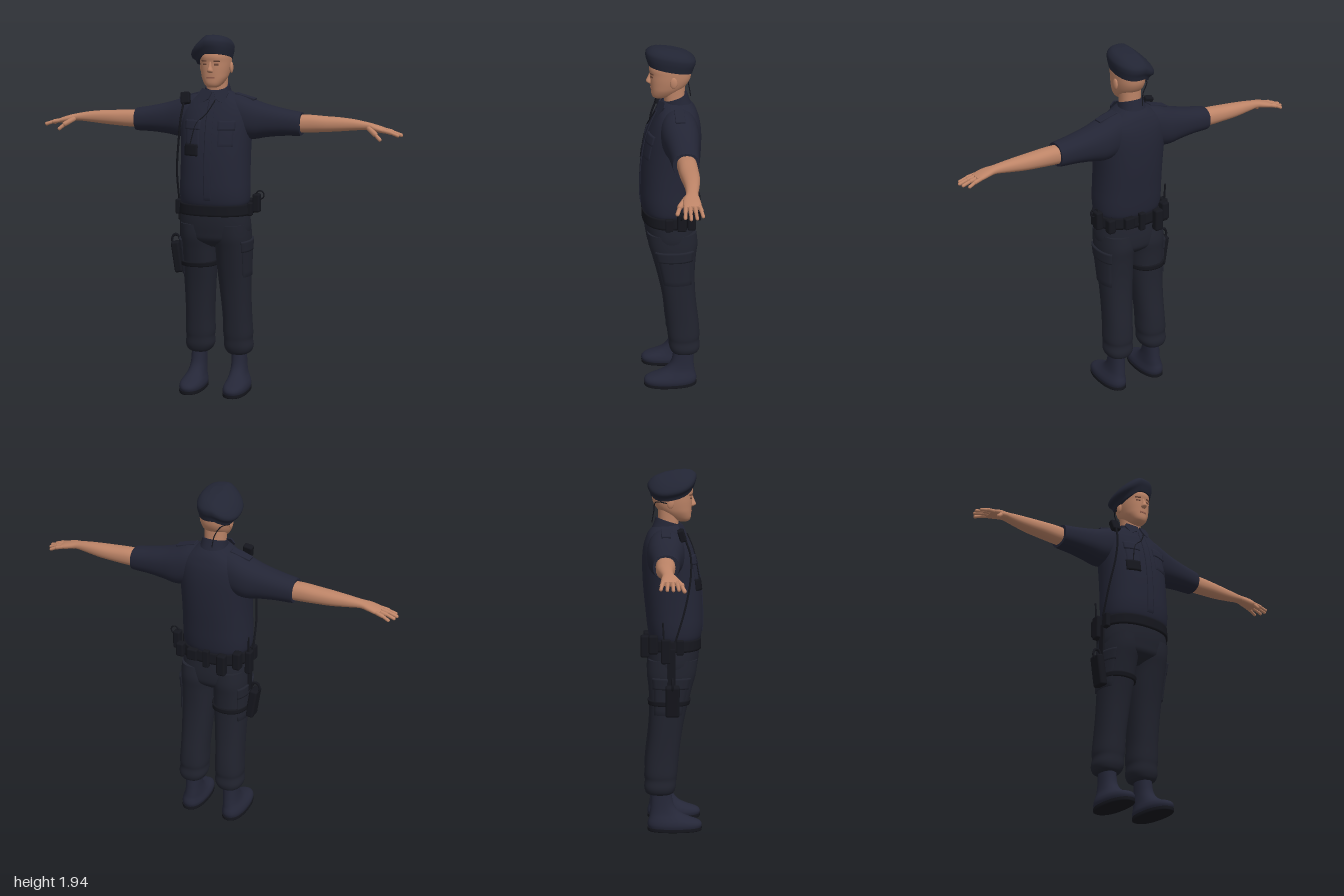
import * as THREE from 'three';
import { RoundedBoxGeometry } from 'three/addons/geometries/RoundedBoxGeometry.js';

const material = (name, color) => new THREE.MeshStandardMaterial({ name, color });
const V = (x, y, z) => new THREE.Vector3(x, y, z);

// Cross-section: [s, aMin, aMax, bMin, bMax]; s runs along the body, a and b across it.
const UP = (s, a, b) => [a, s, b];     // s = y, a = x, b = z
const ACROSS = (s, a, b) => [s, b, a]; // s = x, a = z, b = y

function sectionAt(sections, t) {
  const last = sections.length - 1;
  const i = Math.min(Math.floor(t), last - 1), u = t - i;
  const at = k => sections[Math.max(0, Math.min(last, k))];
  return at(i).map((p1, k) => {
    const p2 = at(i + 1)[k], m1 = (p2 - at(i - 1)[k]) / 2, m2 = (at(i + 2)[k] - p1) / 2;
    const u2 = u * u, u3 = u2 * u;
    return (2 * u3 - 3 * u2 + 1) * p1 + (u3 - 2 * u2 + u) * m1 + (3 * u2 - 2 * u3) * p2 + (u3 - u2) * m2;
  });
}

function surfacePoint(sections, t, angle, offset, map) {
  const [s, a0, a1, b0, b1] = sectionAt(sections, t);
  const round = v => Math.sign(v) * Math.abs(v) ** 0.87;
  return map(s, (a0 + a1) / 2 + ((a1 - a0) / 2 + offset) * round(Math.cos(angle)),
    (b0 + b1) / 2 + ((b1 - b0) / 2 + offset) * round(Math.sin(angle)));
}

function buildGeometry(points, index) {
  const g = new THREE.BufferGeometry();
  g.setAttribute('position', new THREE.Float32BufferAttribute(points.flat(), 3));
  g.setIndex(index);
  g.computeVertexNormals();
  return g;
}

// Closed smooth body through the cross-sections
function loft(sections, map = UP, warp = p => p, sides = 36, steps = 4) {
  const points = [], index = [], rows = (sections.length - 1) * steps;
  for (let i = 0; i <= rows; i++)
    for (let j = 0; j < sides; j++)
      points.push(warp(surfacePoint(sections, i / steps, j / sides * Math.PI * 2, 0, map)));
  for (let i = 0; i < rows; i++)
    for (let j = 0; j < sides; j++) {
      const a = i * sides + j, c = i * sides + (j + 1) % sides;
      index.push(a, a + sides, c, c, a + sides, c + sides);
    }
  for (const end of [0, rows]) {
    const ring = points.slice(end * sides, (end + 1) * sides), start = points.length;
    points.push(...ring, [0, 1, 2].map(k => ring.reduce((sum, p) => sum + p[k], 0) / sides));
    for (let j = 0; j < sides; j++) {
      const a = start + j, b = start + (j + 1) % sides;
      index.push(start + sides, ...(end ? [b, a] : [a, b]));
    }
  }
  return buildGeometry(points, index);
}

// Thin raised panel that follows a lofted surface
function panel(sections, s0, s1, angle0, angle1, offset = 0.005, rows = 8, cols = 10) {
  const points = [], index = [];
  const find = s => {
    let i = 0;
    while (i < sections.length - 2 && sections[i + 1][0] < s) i++;
    return i + (s - sections[i][0]) / (sections[i + 1][0] - sections[i][0]);
  };
  const inner = (k, n) => Math.max(0, Math.min(1, (k - 1) / (n - 2)));
  for (let i = 0; i <= rows; i++)
    for (let j = 0; j <= cols; j++) {
      const edge = i === 0 || j === 0 || i === rows || j === cols;
      points.push(surfacePoint(sections, find(s0 + (s1 - s0) * inner(i, rows)),
        angle0 + (angle1 - angle0) * inner(j, cols), edge ? -0.002 : offset, UP));
    }
  for (let i = 0; i < rows; i++)
    for (let j = 0; j < cols; j++) {
      const a = i * (cols + 1) + j, b = a + cols + 1;
      index.push(a, b, a + 1, a + 1, b, b + 1);
    }
  return buildGeometry(points, index);
}

function mirrored(geometry) {
  const g = geometry.index ? geometry.clone() : geometry.clone().setIndex([...Array(geometry.attributes.position.count).keys()]);
  g.scale(-1, 1, 1);
  const ix = g.index.array;
  for (let i = 0; i < ix.length; i += 3) [ix[i], ix[i + 1]] = [ix[i + 1], ix[i]];
  g.computeVertexNormals();
  return g;
}

function rod(p, q, radius) {
  const d = q.clone().sub(p), g = new THREE.CapsuleGeometry(radius, d.length(), 5, 10);
  g.applyQuaternion(new THREE.Quaternion().setFromUnitVectors(V(0, 1, 0), d.normalize()));
  return g.translate((p.x + q.x) / 2, (p.y + q.y) / 2, (p.z + q.z) / 2);
}

const cable = (points, r = 0.004) => new THREE.TubeGeometry(new THREE.CatmullRomCurve3(points), 40, r, 6);
const box = (x, y, z, w, h, d, rx = 0, ry = 0, rz = 0) => new RoundedBoxGeometry(w, h, d, 2, Math.min(w, h, d) * 0.25)
  .rotateX(rx).rotateY(ry).rotateZ(rz).translate(x, y, z);
const ball = (x, y, z, rx, ry, rz) => new THREE.SphereGeometry(1, 20, 14).scale(rx, ry, rz).translate(x, y, z);

export function createModel() {
  const model = new THREE.Group();
  model.name = 'uniformedOfficer';
  const shirt = material('navy shirt', 0x232535), trousers = material('dark navy trousers', 0x21232e);
  const hat = material('navy beret', 0x222534), leather = material('navy boots', 0x252738);
  const black = material('black gear', 0x15161d), skin = material('skin', 0xbd8467);
  const shade = material('brown features', 0x6b4638), lip = material('lips', 0x96604f);
  const part = (name, geometry, mat) => {
    const mesh = new THREE.Mesh(geometry, mat);
    mesh.name = name;
    model.add(mesh);
  };
  const pair = (name, geometry, mat) => {
    part(name + 'Left', geometry, mat);
    part(name + 'Right', mirrored(geometry), mat);
  };
  const sym = rows => rows.map(([y, r, z0, z1]) => [y, -r, r, z0, z1]);

  // Shirt body, placket and pockets
  const torso = sym([[1.035, 0.172, -0.105, 0.15], [1.06, 0.186, -0.118, 0.163], [1.12, 0.19, -0.128, 0.171],
    [1.2, 0.188, -0.136, 0.17], [1.3, 0.187, -0.146, 0.164], [1.4, 0.19, -0.152, 0.15], [1.48, 0.194, -0.152, 0.13],
    [1.54, 0.188, -0.145, 0.107], [1.58, 0.165, -0.133, 0.088], [1.61, 0.125, -0.12, 0.074], [1.635, 0.086, -0.1, 0.06],
    [1.65, 0.06, -0.08, 0.045]]);
  part('shirtBody', loft(torso), shirt);
  part('shirtPlacket', panel(torso, 1.08, 1.6, 1.5, 1.64, 0.004, 30), shirt);
  pair('chestPocket', panel(torso, 1.36, 1.47, 0.9, 1.35, 0.004), shirt);
  pair('pocketFlap', panel(torso, 1.445, 1.495, 0.87, 1.38, 0.008), shirt);
  part('chestPouch', panel(torso, 1.31, 1.37, 1.82, 2.28, 0.008), black);

  // Collar
  const collar = sym([[1.61, 0.088, -0.106, 0.06], [1.65, 0.073, -0.092, 0.052], [1.69, 0.064, -0.079, 0.04]]);
  part('collarBand', loft(collar, UP, ([x, y, z]) => [x, y - (z + 0.08) * 0.32, z]), shirt);
  const wing = new THREE.Shape([[0.004, 0.012], [0.016, -0.03], [0.055, -0.056], [0.084, 0.004], [0.07, 0.03]].map(p => new THREE.Vector2(...p)));
  pair('collarWing', new THREE.ExtrudeGeometry(wing, { depth: 0.007, bevelEnabled: false })
    .rotateX(-0.45).rotateY(0.28).translate(0, 1.63, 0.068), shirt);

  // Sleeves and epaulettes
  pair('sleeve', loft([[0.05, -0.115, 0.06, 1.43, 1.635], [0.13, -0.125, 0.07, 1.4, 1.625], [0.2, -0.126, 0.064, 1.39, 1.6],
    [0.27, -0.118, 0.052, 1.402, 1.577], [0.36, -0.108, 0.042, 1.412, 1.556], [0.45, -0.1, 0.035, 1.415, 1.54],
    [0.46, -0.097, 0.032, 1.418, 1.537]], ACROSS), shirt);
  pair('epaulette', box(0.155, 1.615, -0.028, 0.11, 0.012, 0.05, 0, 0, -0.27), shirt);

  // Arms and hands
  pair('arm', loft([[0.42, -0.085, 0.015, 1.43, 1.525], [0.5, -0.085, 0.012, 1.433, 1.527], [0.58, -0.085, 0.01, 1.438, 1.522],
    [0.66, -0.082, 0.003, 1.444, 1.518], [0.74, -0.07, -0.002, 1.452, 1.51], [0.81, -0.058, 0.001, 1.458, 1.498],
    [0.85, -0.062, 0.017, 1.452, 1.489], [0.89, -0.066, 0.021, 1.445, 1.477], [0.915, -0.063, 0.018, 1.445, 1.467]], ACROSS, undefined, 24), skin);
  [[-0.056, -0.066, 0.966], [-0.033, -0.036, 0.986], [-0.01, -0.008, 0.992], [0.01, 0.018, 0.978]].forEach(([z0, z1, tip], i) => {
    const knuckle = V(0.9, 1.459, z0), joint = V((0.9 + tip) / 2, 1.451, (z0 + z1) / 2);
    pair('finger' + (i + 1), rod(knuckle, joint, 0.0105), skin);
    pair('fingertip' + (i + 1), rod(joint, V(tip, 1.437, z1), 0.0085), skin);
  });
  pair('thumbBase', rod(V(0.825, 1.468, 0), V(0.863, 1.442, 0.033), 0.014), skin);
  pair('thumbTip', rod(V(0.863, 1.442, 0.033), V(0.89, 1.417, 0.047), 0.01), skin);

  // Neck, head and face
  part('neck', loft(sym([[1.59, 0.058, -0.072, 0.035], [1.66, 0.055, -0.066, 0.042], [1.74, 0.058, -0.068, 0.05]])), skin);
  const head = sym([[1.666, 0.02, 0.045, 0.088], [1.674, 0.037, 0.015, 0.1], [1.69, 0.051, -0.02, 0.107], [1.715, 0.065, -0.05, 0.109],
    [1.74, 0.072, -0.077, 0.111], [1.77, 0.077, -0.094, 0.113], [1.8, 0.079, -0.1, 0.114], [1.83, 0.079, -0.1, 0.118],
    [1.86, 0.073, -0.09, 0.107], [1.885, 0.052, -0.06, 0.075]]);
  part('head', loft(head), skin);
  part('nose', loft(sym([[1.744, 0.009, 0.09, 0.115], [1.75, 0.016, 0.09, 0.128], [1.76, 0.015, 0.09, 0.134],
    [1.78, 0.009, 0.09, 0.125], [1.805, 0.007, 0.09, 0.115]]), UP, undefined, 16), skin);
  pair('eye', panel(head, 1.785, 1.793, 1.05, 1.36, 0.001), shade);
  pair('eyebrow', panel(head, 1.803, 1.81, 0.98, 1.38, 0.003), shade);
  part('mouth', panel(head, 1.715, 1.724, 1.3, 1.84, 0.002), lip);
  pair('ear', ball(0.082, 1.768, -0.003, 0.009, 0.03, 0.019), skin);

  // Beret, sagging to one side
  part('beret', loft([[1.822, -0.083, 0.083, -0.105, 0.122], [1.845, -0.09, 0.088, -0.112, 0.13], [1.87, -0.105, 0.092, -0.122, 0.136],
    [1.895, -0.105, 0.09, -0.12, 0.13], [1.92, -0.08, 0.07, -0.09, 0.098], [1.932, -0.03, 0.03, -0.04, 0.04]], UP,
    ([x, y, z]) => {
      const sag = Math.max(0, -x - 0.03);
      return [x - sag * 0.28, y + z * 0.2 - sag * 0.8, z];
    }), hat);

  // Trousers, with bloused cuffs and cargo pockets
  const pelvis = sym([[0.81, 0.06, -0.07, 0.06], [0.85, 0.165, -0.118, 0.128], [0.9, 0.19, -0.127, 0.143],
    [0.97, 0.189, -0.122, 0.152], [1.06, 0.178, -0.11, 0.154]]);
  const leg = [[0.203, 0.06, 0.16, -0.12, 0], [0.215, 0.045, 0.18, -0.138, 0.014], [0.245, 0.031, 0.19, -0.146, 0.025],
    [0.285, 0.032, 0.185, -0.141, 0.028], [0.32, 0.028, 0.188, -0.144, 0.033], [0.4, 0.028, 0.184, -0.138, 0.04],
    [0.5, 0.022, 0.183, -0.126, 0.052], [0.6, 0.014, 0.184, -0.118, 0.068], [0.7, 0.006, 0.186, -0.116, 0.09],
    [0.8, 0.002, 0.189, -0.122, 0.115], [0.87, -0.004, 0.191, -0.13, 0.134], [0.94, 0.01, 0.186, -0.122, 0.14]];
  part('trouserSeat', loft(pelvis), trousers);
  pair('trouserLeg', loft(leg), trousers);
  pair('cargoPocket', panel(leg, 0.65, 0.82, -0.75, 0.75, 0.007), trousers);
  pair('cargoFlap', panel(leg, 0.79, 0.85, -0.8, 0.8, 0.01), trousers);

  // Boots
  pair('boot', loft([[0.015, 0.062, 0.186, -0.122, 0.16], [0.035, 0.058, 0.19, -0.128, 0.166], [0.055, 0.062, 0.186, -0.126, 0.15],
    [0.075, 0.068, 0.176, -0.12, 0.095], [0.1, 0.072, 0.165, -0.116, 0.048], [0.14, 0.075, 0.158, -0.112, 0.015],
    [0.2, 0.075, 0.155, -0.11, 0.002], [0.24, 0.075, 0.155, -0.11, 0]]), leather);
  pair('bootSole', loft([[0, 0.064, 0.184, -0.12, 0.158], [0.004, 0.058, 0.19, -0.128, 0.165], [0.02, 0.058, 0.19, -0.128, 0.166]]), black);

  // Belt with pouches
  part('belt', panel(pelvis, 0.99, 1.045, 0, Math.PI * 2, 0.01, 8, 60), black);
  [[0.215, 1.045, -0.035, 0.04, 0.1, 0.05], [0.197, 1.02, 0.03, 0.025, 0.07, 0.04], [0.17, 1.02, -0.09, 0.045, 0.08, 0.045],
    [0.08, 1.03, -0.13, 0.06, 0.065, 0.035], [0, 1.02, -0.13, 0.035, 0.1, 0.03], [-0.095, 1.01, -0.14, 0.05, 0.12, 0.045],
    [-0.165, 1.03, -0.095, 0.045, 0.1, 0.05], [-0.205, 1.0, -0.03, 0.035, 0.13, 0.05], [-0.198, 1.02, 0.045, 0.03, 0.08, 0.04]]
    .forEach((b, i) => part('beltPouch' + (i + 1), box(...b), black));
  part('keyLoop', new THREE.TorusGeometry(0.022, 0.004, 6, 20).translate(0.235, 1.09, -0.03), black);
  part('radioAntenna', rod(V(-0.205, 1.06, -0.04), V(-0.207, 1.15, -0.045), 0.005), black);

  // Thigh holster
  part('holster', box(-0.217, 0.735, 0.005, 0.045, 0.17, 0.075, 0, 0, 0.15), black);
  part('holsterGrip', new THREE.TorusGeometry(0.025, 0.007, 8, 20).scale(0.9, 1.25, 1).translate(-0.23, 0.825, 0.005), black);
  part('holsterStrap', box(-0.196, 0.91, 0, 0.012, 0.2, 0.04), black);
  part('thighStrap', mirrored(panel(leg, 0.7, 0.725, 0, Math.PI * 2, 0.009, 6, 40)), black);

  // Shoulder microphone, cables and earpiece wire
  part('shoulderMicrophone', box(-0.155, 1.605, 0.055, 0.05, 0.065, 0.035, -0.3, 0, 0.15), black);
  part('microphoneCable', cable([V(-0.16, 1.58, 0.075), V(-0.168, 1.5, 0.1), V(-0.18, 1.38, 0.1), V(-0.2, 1.22, 0.07), V(-0.205, 1.05, 0.02)], 0.006), black);
  part('chestWire', cable([V(0.02, 1.6, 0.088), V(-0.02, 1.53, 0.118), V(-0.07, 1.48, 0.13), V(-0.1, 1.37, 0.15)], 0.003), black);
  part('earpieceWire', cable([V(-0.084, 1.765, -0.015), V(-0.06, 1.77, -0.08), V(-0.03, 1.72, -0.09), V(-0.02, 1.66, -0.1)], 0.003), black);
  return model;
}
